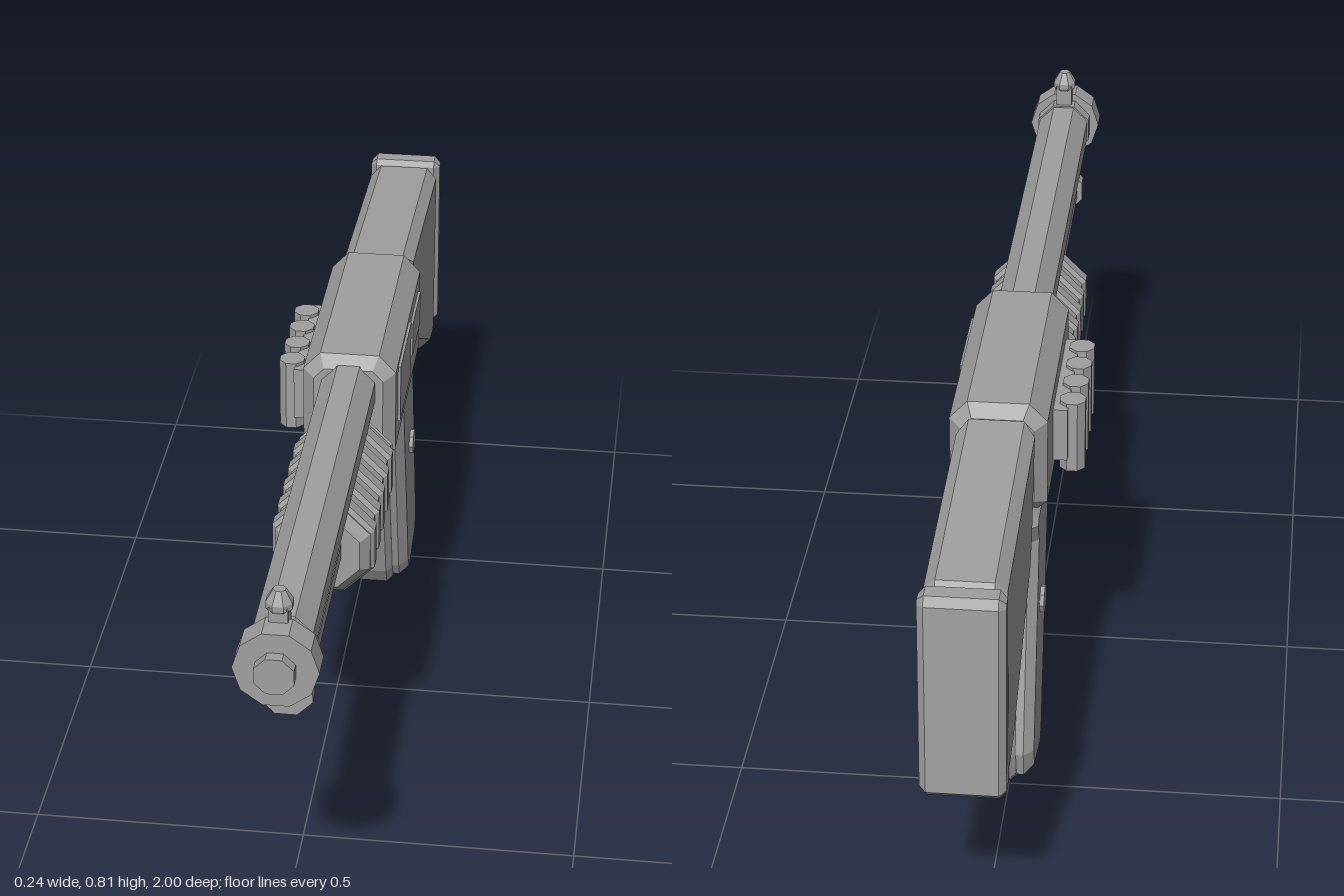
import * as THREE from 'three';

const CX = 0.025; // centre plane of the body

export function createModel() {
  const grey = new THREE.MeshStandardMaterial({ color: 0xa0a0a0 });
  grey.name = 'grey';
  grey.flatShading = true;
  const model = new THREE.Group();
  model.name = 'toyPumpGun';

  const add = (name, geometry, x = CX, y = 0, z = 0) => {
    const mesh = new THREE.Mesh(geometry, grey);
    mesh.name = name;
    mesh.position.set(x, y, z);
    model.add(mesh);
    return mesh;
  };
  const box = (name, x0, x1, y0, y1, z0, z1) =>
    add(name, new THREE.BoxGeometry(x1 - x0, y1 - y0, z1 - z0), (x0 + x1) / 2, (y0 + y1) / 2, (z0 + z1) / 2);

  // faceted solid turned about z, with flat sides up; profile is [radius to the flats, z]
  const turned = (name, y, sides, profile) => {
    const k = 1 / Math.cos(Math.PI / sides);
    const points = profile.map(([r, z]) => new THREE.Vector2(r * k, z));
    const g = new THREE.LatheGeometry(points, sides, Math.PI / sides).rotateX(Math.PI / 2);
    return add(name, g, CX, y, 0);
  };
  const rod = (name, y, sides, r, z0, z1) => turned(name, y, sides, [[0, z0], [r, z0], [r, z1], [0, z1]]);

  const extrude = (points, depth, bevel) => {
    const g = new THREE.ExtrudeGeometry(new THREE.Shape(points.map(p => new THREE.Vector2(...p))), {
      depth: depth - 2 * bevel, bevelEnabled: bevel > 0, bevelSegments: 1,
      bevelSize: bevel, bevelThickness: bevel, bevelOffset: -bevel,
    });
    return g.translate(0, 0, -(depth - 2 * bevel) / 2);
  };
  // side outline of [z, y] points, given a width across x
  const sidePlate = (name, points, width, bevel, x = CX) =>
    add(name, extrude(points, width, bevel).rotateY(-Math.PI / 2), x);

  // barrel and muzzle
  rod('barrel', 0.69, 8, 0.05, 0.0, 0.96);
  turned('muzzleCollar', 0.69, 10, [[0, 0.93], [0.068, 0.93], [0.068, 0.98], [0, 0.98]]);
  rod('muzzleTip', 0.69, 8, 0.033, 0.95, 1.0);

  // front sight
  rod('sightBand', 0.69, 8, 0.053, 0.9, 0.94);
  box('sightPost', 0.009, 0.041, 0.73, 0.785, 0.908, 0.944);
  const bead = [[0, 0.768], [0.015, 0.768], [0.024, 0.78], [0.024, 0.79], [0.011, 0.812], [0, 0.812]];
  add('sightBead', new THREE.LatheGeometry(bead.map(p => new THREE.Vector2(...p)), 8, Math.PI / 8), CX, 0, 0.926);

  // magazine tube under the barrel
  rod('magazineTube', 0.575, 8, 0.035, 0.0, 0.85);
  rod('magazineCap', 0.575, 8, 0.045, 0.84, 0.87);
  rod('magazineRearCollar', 0.572, 8, 0.05, 0.02, 0.06);
  box('barrelBracket', 0.01, 0.04, 0.6, 0.65, 0.77, 0.82);

  // ribbed sliding fore-end
  const rib = [[0, 0.055], [0.068, 0.055], [0.088, 0.075]];
  for (let i = 0; i < 5; i++) {
    const z = 0.075 + i * 0.066;
    rib.push([0.085, z + 0.004], [0.085, z + 0.018], [0.092, z + 0.026], [0.092, z + 0.052], [0.085, z + 0.06]);
  }
  rib.push([0.085, 0.402], [0.068, 0.42], [0, 0.42]);
  turned('foreEnd', 0.567, 8, rib);

  // receiver
  const section = [[-0.087, 0.56], [-0.07, 0.545], [0.07, 0.545], [0.087, 0.56],
    [0.087, 0.722], [0.055, 0.756], [-0.055, 0.756], [-0.087, 0.722]];
  add('receiver', extrude(section, 0.47, 0.022), CX, 0, -0.195);
  box('ejectionCover', 0.108, 0.117, 0.6, 0.715, -0.205, -0.02);
  box('loadingCover', 0.108, 0.117, 0.625, 0.695, -0.375, -0.235);

  // shell holder on the right side
  box('shellHolder', -0.088, -0.06, 0.585, 0.688, -0.305, -0.035);
  for (let i = 0; i < 4; i++) {
    add('shell' + (i + 1), new THREE.CylinderGeometry(0.025, 0.025, 0.138, 8, 1, false, Math.PI / 8),
      -0.095, 0.625, -0.27 + i * 0.067);
  }

  // shoulder stock and butt pad
  sidePlate('stock', [[-0.438, 0.738], [-0.44, 0.705], [-0.495, 0.535], [-0.525, 0.49], [-0.83, 0.328],
    [-0.9, 0.315], [-0.93, 0.33], [-0.938, 0.69], [-0.92, 0.712]], 0.138, 0.02);
  rod('stockJoint', 0.66, 8, 0.04, -0.5, -0.4);
  sidePlate('buttPadCore', [[-0.92, 0.68], [-0.92, 0.36], [-0.97, 0.36], [-0.96, 0.68]], 0.11, 0);
  sidePlate('buttPad', [[-0.938, 0.705], [-0.95, 0.335], [-0.985, 0.33], [-1.0, 0.345], [-0.985, 0.7],
    [-0.975, 0.716], [-0.945, 0.716]], 0.146, 0.012);

  // pistol grip: core spine with a bevelled panel on each side
  sidePlate('gripCore', [[-0.235, 0.545], [-0.43, 0.575], [-0.472, 0.565], [-0.475, 0.53], [-0.455, 0.49],
    [-0.556, 0.1], [-0.55, 0.05], [-0.525, 0.028], [-0.41, 0.003], [-0.38, 0.013], [-0.358, 0.05],
    [-0.23, 0.47]], 0.085, 0.012);
  const panel = [[-0.25, 0.535], [-0.27, 0.55], [-0.44, 0.555], [-0.462, 0.53], [-0.445, 0.49],
    [-0.545, 0.1], [-0.535, 0.05], [-0.41, 0.018], [-0.385, 0.03], [-0.368, 0.06], [-0.245, 0.47]];
  for (const side of [-1, 1]) {
    const label = side > 0 ? 'left' : 'right';
    sidePlate(label + 'GripPanel', panel, 0.06, 0.018, CX + side * 0.044);
    add(label + 'GripScrew', new THREE.CylinderGeometry(0.026, 0.026, 0.02, 8).rotateZ(Math.PI / 2),
      CX + side * 0.072, 0.345, -0.395);
  }

  // trigger guard and trigger
  sidePlate('triggerGuard', [[-0.168, 0.555], [-0.155, 0.5], [-0.185, 0.43], [-0.25, 0.405], [-0.25, 0.424],
    [-0.197, 0.444], [-0.173, 0.5], [-0.186, 0.555]], 0.034, 0);
  sidePlate('trigger', [[-0.2, 0.555], [-0.215, 0.5], [-0.2, 0.465], [-0.215, 0.462], [-0.232, 0.5],
    [-0.228, 0.555]], 0.02, 0);

  return model;
}
